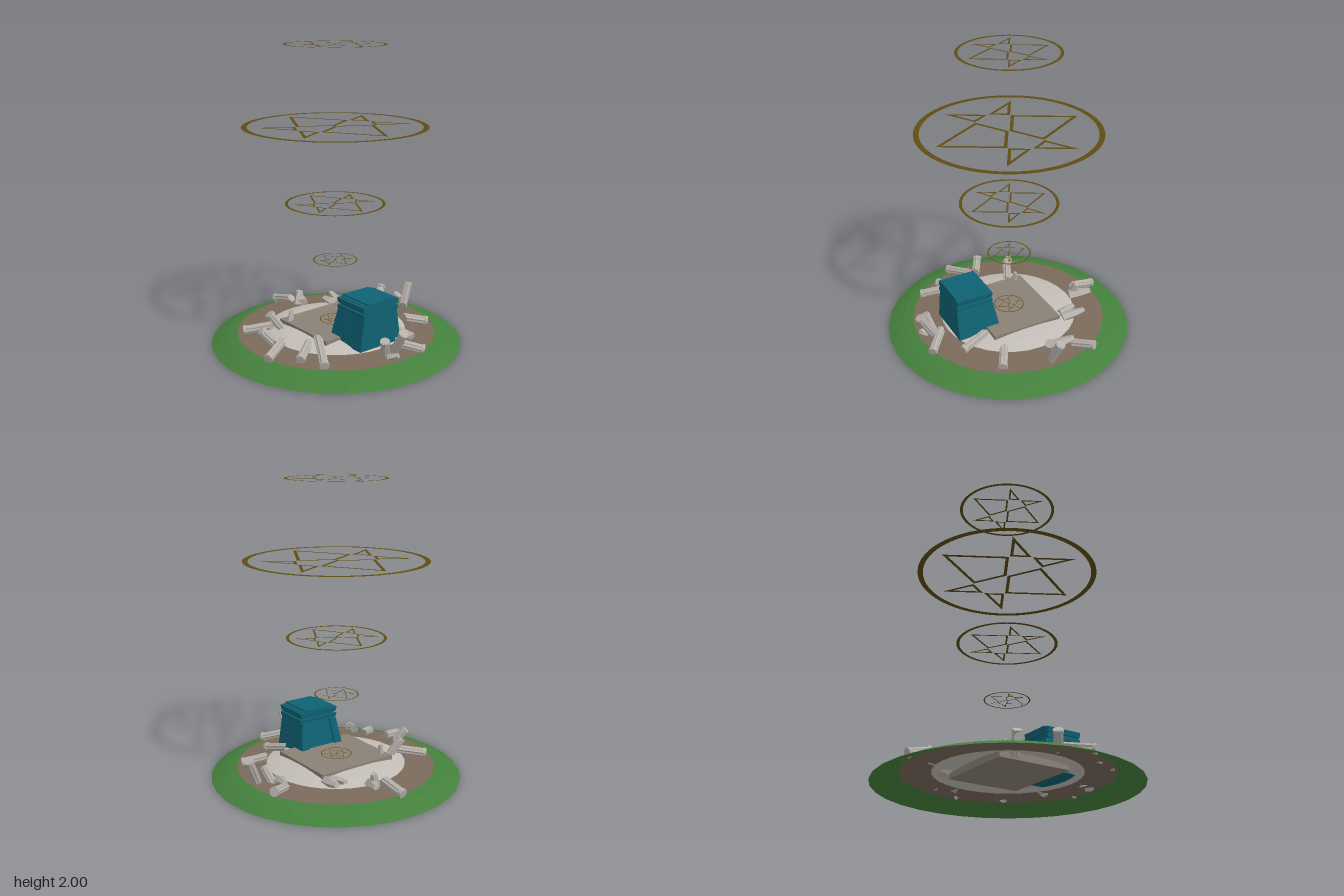
import * as THREE from 'three';

const mat = (name, color, side = THREE.FrontSide) => {
  const m = new THREE.MeshStandardMaterial({ color, side, flatShading: true });
  m.name = name;
  return m;
};

export function createModel() {
  const root = new THREE.Group();
  root.name = 'ruinedShrine';
  const D = THREE.DoubleSide;
  const grass = mat('grass', 0x44803c, D);
  const earth = mat('earth', 0x7a6a5b, D);
  const paleStone = mat('paleStone', 0xc2bdb6, D);
  const paving = mat('paving', 0x8a8076, D);
  const rubbleStone = mat('rubbleStone', 0xb5afa9);
  const teal = mat('teal', 0x0f6274);
  const gold = mat('darkGold', 0x5e4c10, D);

  const add = (parent, name, geo, material, x = 0, y = 0, z = 0) => {
    const m = new THREE.Mesh(geo, material);
    m.name = name;
    m.position.set(x, y, z);
    parent.add(m);
    return m;
  };

  // Mound: three open bands of one low dome
  const band = (name, pts, material) =>
    add(root, name, new THREE.LatheGeometry(pts.map(p => new THREE.Vector2(...p)), 32), material);
  band('grassBank', [[0.852, 0], [0.79, 0.03], [0.74, 0.05], [0.675, 0.065]], grass);
  band('earthRing', [[0.675, 0.065], [0.58, 0.071], [0.475, 0.078]], earth);
  band('stoneFloor', [[0.475, 0.078], [0.39, 0.1], [0.28, 0.116], [0, 0.118]], paleStone);
  add(root, 'platform', new THREE.BoxGeometry(0.58, 0.06, 0.51), paving, 0, 0.1, 0);

  // Throne: tapered block, stepped crown and a framed recess towards the back
  const throne = new THREE.Group();
  throne.name = 'throne';
  root.add(throne);
  // box between y0 and y1 whose sides lean from [halfWidth, zMin] to [halfWidth, zMin]
  const taper = (name, y0, y1, [w0, z0], [w1, z1], back = 0.46, x0 = null, x1 = null) => {
    const g = new THREE.BoxGeometry(1, 1, 1);
    const p = g.attributes.position;
    for (let i = 0; i < p.count; i++) {
      const up = p.getY(i) > 0;
      const w = up ? w1 : w0;
      const c = (up ? x1 : x0) ?? 0;
      p.setXYZ(i, c + Math.sign(p.getX(i)) * w, up ? y1 : y0, p.getZ(i) > 0 ? back : (up ? z1 : z0));
    }
    g.computeVertexNormals();
    return add(throne, name, g, teal);
  };
  taper('throneBody', 0.09, 0.315, [0.173, 0.17], [0.138, 0.21]);
  for (const s of [-1, 1]) {
    taper('frontPier', 0.09, 0.31, [0.032, 0.152], [0.026, 0.195], 0.3, s * 0.143, s * 0.114);
  }
  taper('lowerCornice', 0.315, 0.338, [0.15, 0.202], [0.15, 0.199]);
  taper('corniceNeck', 0.31, 0.39, [0.138, 0.214], [0.132, 0.214]);
  taper('upperCornice', 0.352, 0.386, [0.146, 0.202], [0.152, 0.198]);
  taper('crown', 0.38, 0.4, [0.112, 0.205], [0.108, 0.205]);

  // Fluted, broken column piece from a to b
  const up = new THREE.Vector3(0, 1, 0);
  const aim = (mesh, a, b) => {
    mesh.position.copy(a).add(b).multiplyScalar(0.5);
    mesh.quaternion.setFromUnitVectors(up, b.clone().sub(a).normalize());
  };
  const column = (a, b, r, i) => {
    const g = new THREE.Group();
    g.name = 'brokenColumn';
    root.add(g);
    const len = a.distanceTo(b);
    const shaft = new THREE.CylinderGeometry(r, r, len, 16, 1);
    const p = shaft.attributes.position;
    for (let k = 0; k < p.count; k++) {
      const x = p.getX(k), z = p.getZ(k), ang = Math.atan2(z, x);
      const flute = 0.91 + 0.09 * Math.cos(8 * (ang - Math.PI / 2));
      // slanted break at the lower end
      const y = p.getY(k) + (p.getY(k) < 0 ? x * 0.6 * Math.sin(i * 2.3) + z * 0.5 : 0);
      p.setXYZ(k, x * flute, y, z * flute);
    }
    shaft.computeVertexNormals();
    add(g, 'flutedShaft', shaft, rubbleStone);
    add(g, 'collar', new THREE.CylinderGeometry(r * 1.12, r * 1.12, 0.02, 10), rubbleStone, 0, len / 2 - 0.012, 0);
    aim(g, a, b);
  };
  // Chipped slab from a to b
  const slab = (a, b, w, i) => {
    const g = new THREE.CylinderGeometry(w * 0.55, w, a.distanceTo(b), 5, 2);
    const p = g.attributes.position;
    for (let k = 0; k < p.count; k++) {
      const bend = Math.abs(p.getY(k)) < 1e-4 ? 1.15 : 1;
      p.setXYZ(k, p.getX(k) * bend, p.getY(k) + p.getX(k) * 0.6 * Math.sin(i * 3.1), p.getZ(k) * bend * 0.75);
    }
    g.computeVertexNormals();
    aim(add(root, 'chippedBlock', g, rubbleStone), a, b);
  };

  // Rubble: x, y, z of the low end, then of the other end
  const V = (x, y, z) => new THREE.Vector3(x, y, z);
  [
    [0.01, 0.13, -0.53, -0.01, 0.085, -0.71],
    [0.54, 0.09, -0.19, 0.68, 0.13, -0.29],
    [0.62, 0.08, 0.01, 0.695, 0.245, -0.015],
    [0.55, 0.08, -0.06, 0.58, 0.18, 0.0],
    [0.41, 0.12, 0.25, 0.55, 0.085, 0.33],
    [0.22, 0.13, 0.3, 0.265, 0.085, 0.48],
    [0.06, 0.13, 0.55, 0.19, 0.085, 0.67],
    [0, 0.08, 0.58, 0, 0.245, 0.675],
    [-0.05, 0.07, 0.56, -0.09, 0.195, 0.6],
    [-0.34, 0.16, 0.24, -0.47, 0.085, 0.47],
    [-0.4, 0.13, 0.21, -0.54, 0.09, 0.31],
    [-0.5, 0.13, 0.07, -0.68, 0.085, 0.16],
    [-0.52, 0.1, 0.0, -0.59, 0.19, -0.05],
    [-0.4, 0.13, -0.19, -0.56, 0.1, -0.3],
    [-0.33, 0.09, -0.17, -0.41, 0.21, -0.21],
  ].forEach((c, i) => column(V(...c.slice(0, 3)), V(...c.slice(3)), 0.029, i));
  [
    [0.07, 0.1, -0.47, 0.13, 0.13, -0.61],
    [0.05, 0.08, -0.5, 0.08, 0.18, -0.52],
    [0.24, 0.1, -0.29, 0.22, 0.12, -0.41],
    [0.28, 0.1, -0.28, 0.31, 0.13, -0.44],
    [0.51, 0.09, -0.06, 0.55, 0.13, -0.21],
    [-0.26, 0.08, -0.18, -0.24, 0.2, -0.19],
    [-0.05, 0.07, 0.6, -0.03, 0.1, 0.66],
  ].forEach((c, i) => slab(V(...c.slice(0, 3)), V(...c.slice(3)), i === 5 ? 0.028 : 0.04, i));

  // Flat six-pointed emblem in a ring: two kites and four small triangles
  const frame = (pts, c, inset, width) => {
    const scaled = k => pts.map(([x, y]) => new THREE.Vector2(c[0] + (x - c[0]) * k, c[1] + (y - c[1]) * k));
    const s = new THREE.Shape(scaled(1 + inset));
    s.holes.push(new THREE.Path(scaled(1 + inset - width)));
    return s;
  };
  const shapes = [];
  const ringShape = new THREE.Shape().absarc(0, 0, 1.175, 0, Math.PI * 2);
  ringShape.holes.push(new THREE.Path().absarc(0, 0, 1.105, 0, Math.PI * 2));
  shapes.push(ringShape);
  for (const sy of [-1, 1]) {
    const kite = [[0, 1], [-0.433, 0.25], [0, 0], [0.433, 0.25]].map(([x, y]) => [x, y * sy]);
    shapes.push(frame(kite, [0, 0.366 * sy], -0.02, 0.13));
    for (const sx of [-1, 1]) {
      const tip = [[0.866, 0.5], [0.433, 0.25], [0.577, 0]].map(([x, y]) => [x * sx, y * sy]);
      // inner centre of the right-angled tip triangle
      const w = [0.289, 0.577, 0.5], sum = 1.366;
      const c = [0, 1].map(k => tip.reduce((t, p, j) => t + p[k] * w[j], 0) / sum);
      shapes.push(frame(tip, c, -0.04, 0.36));
    }
  }
  const emblem = new THREE.ShapeGeometry(shapes, 32).rotateX(-Math.PI / 2);
  [[2, 0.335], [1.473, 0.612], [0.954, 0.335], [0.56, 0.15], [0.133, 0.105]].forEach(([y, r]) => {
    const m = add(root, y > 0.2 ? 'floatingEmblem' : 'floorEmblem', emblem, gold, 0, y, -0.008);
    m.scale.set(r / 1.175, 1, r / 1.175);
  });

  return root;
}
